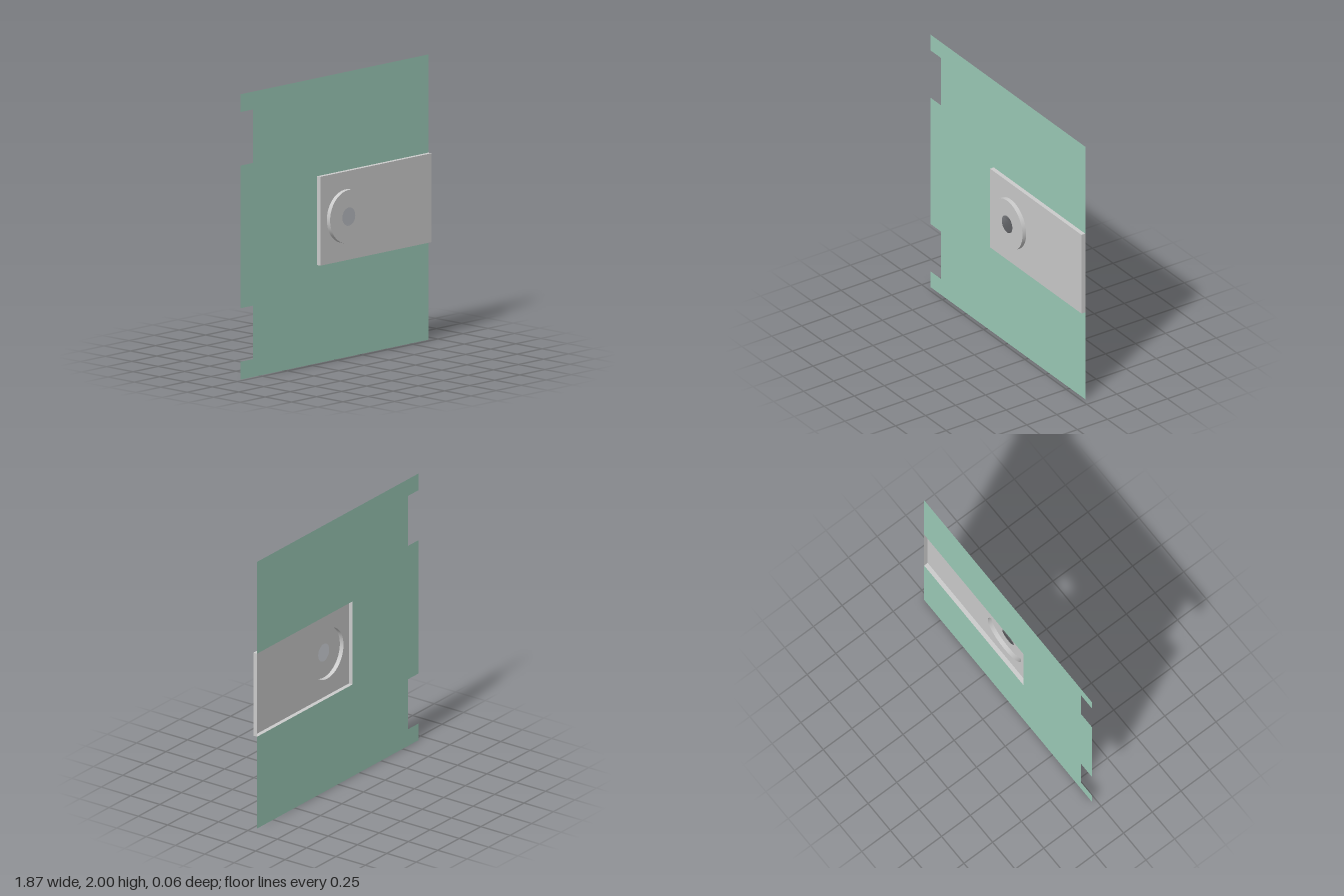
import * as THREE from 'three';

const STEP = 0.031;             // depth of each pressed step
const W = 0.9365;               // half width of the panel
const PLATE = { x0: -0.172, x1: W, y0: 0.6885, y1: 1.3115 };
const BOSS = { x: 0.079, y: 1, r: 0.1865, hole: 0.064 };

const green = new THREE.MeshStandardMaterial({ color: 0x9ccbb8, side: THREE.DoubleSide });
const grey = new THREE.MeshStandardMaterial({ color: 0xcccccc, side: THREE.DoubleSide });

function polygon(points) {
  return new THREE.Shape(points.map(([x, y]) => new THREE.Vector2(x, y)));
}

function circlePath(r) {
  return new THREE.Path().absarc(BOSS.x, BOSS.y, r, 0, Math.PI * 2, true);
}

export function createModel() {
  const model = new THREE.Group();
  model.name = 'latchPanel';

  function add(name, geometry, material, x = 0, y = 0, z = 0) {
    const mesh = new THREE.Mesh(geometry, material);
    mesh.name = name;
    mesh.position.set(x, y, z);
    model.add(mesh);
    return mesh;
  }

  const { x0, x1, y0, y1 } = PLATE;

  // Thin sheet with two hinge notches on one edge and an opening for the plate on the other
  const n = -0.8125;
  const panel = polygon([
    [-W, 0], [W, 0], [W, y0], [x0, y0], [x0, y1], [W, y1], [W, 2], [-W, 2],
    [-W, 1.875], [n, 1.875], [n, 1.5], [-W, 1.5],
    [-W, 0.5], [n, 0.5], [n, 0.125], [-W, 0.125],
  ]);
  add('panel', new THREE.ShapeGeometry(panel), green, 0, 0, -STEP);

  // Raised plate face, open where the boss rises from it
  const plate = polygon([[x0, y0], [x1, y0], [x1, y1], [x0, y1]]);
  plate.holes.push(circlePath(BOSS.r));
  add('plateFace', new THREE.ShapeGeometry(plate, 48), grey);

  // Walls joining the plate face to the panel
  const w = x1 - x0, h = y1 - y0, cx = (x0 + x1) / 2;
  for (const [y, turn] of [[y0, 1], [y1, -1]]) {
    add('plateLongWall', new THREE.PlaneGeometry(w, STEP), grey, cx, y, -STEP / 2)
      .rotation.x = turn * Math.PI / 2;
  }
  for (const [x, turn] of [[x0, -1], [x1, 1]]) {
    add('plateEndWall', new THREE.PlaneGeometry(STEP, h), grey, x, 1, -STEP / 2)
      .rotation.y = turn * Math.PI / 2;
  }

  // Round boss: rim wall and pierced face
  add('bossRim', new THREE.CylinderGeometry(BOSS.r, BOSS.r, STEP, 96, 1, true), grey,
    BOSS.x, BOSS.y, STEP / 2).rotation.x = Math.PI / 2;
  add('bossFace', new THREE.RingGeometry(BOSS.hole, BOSS.r, 96), grey, BOSS.x, BOSS.y, STEP);

  return model;
}
